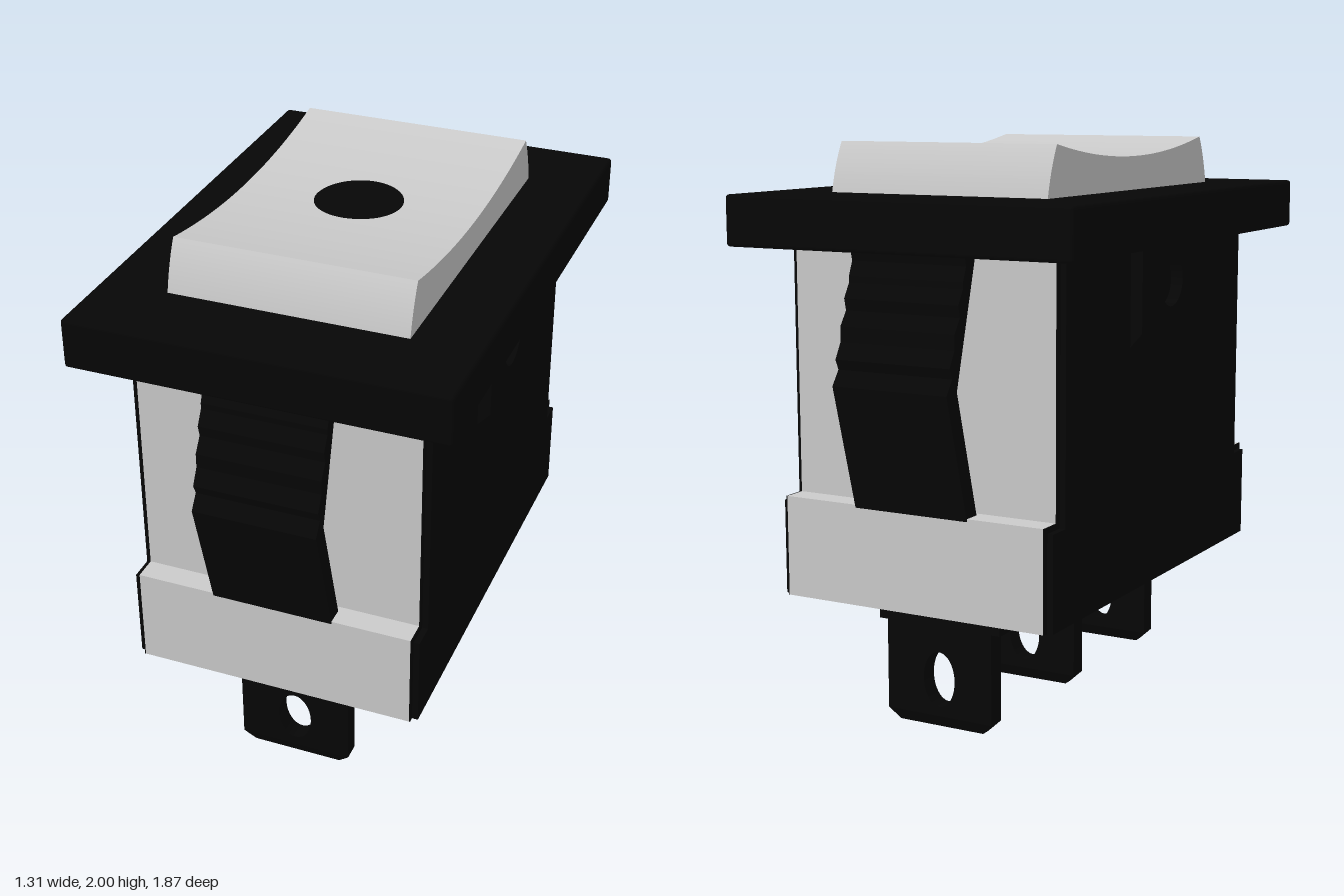
import * as THREE from 'three';
import { RoundedBoxGeometry } from 'three/addons/geometries/RoundedBoxGeometry.js';

export function createModel() {
  const model = new THREE.Group();
  const grey = new THREE.MeshStandardMaterial({ color: 0xcccccc });
  const black = new THREE.MeshStandardMaterial({ color: 0x060606 });

  const add = (name, geometry, material, x = 0, y = 0, z = 0, parent = model) => {
    const mesh = new THREE.Mesh(geometry, material);
    mesh.name = name;
    mesh.position.set(x, y, z);
    parent.add(mesh);
    return mesh;
  };
  const box = (w, h, d) => new THREE.BoxGeometry(w, h, d);
  const polygon = (points) => new THREE.Shape(points.map(([a, b]) => new THREE.Vector2(a, b)));
  const extrude = (shape, depth) =>
    new THREE.ExtrudeGeometry(shape, { depth, bevelEnabled: false, curveSegments: 24 });
  // Extrudes a (z, y) side profile across x, centred on x = 0
  const sideProfile = (shape, width) =>
    extrude(shape, width).translate(0, 0, -width / 2).rotateY(-Math.PI / 2);

  // Housing: grey core, black walls and slightly raised side panels, wider at the foot
  const housing = (bottom, inset) => {
    const foot = 0.815 - inset, body = 0.73 - inset, ledge = 0.8 - inset;
    return polygon([
      [-foot, bottom], [foot, bottom], [foot, ledge], [body, ledge],
      [body, 1.68], [-body, 1.68], [-body, ledge], [-foot, ledge],
    ]);
  };
  add('housingCore', sideProfile(housing(0.5, 0), 0.996), grey);
  for (const s of [-1, 1]) {
    add('housingSide', sideProfile(housing(0.45, 0), 0.004), black, s * 0.5);
    add('sidePanel', sideProfile(housing(0.45, 0.02), 0.022), black, s * 0.512);
    add('footSkirt', box(0.996, 0.05, 0.005), grey, 0, 0.475, s * 0.8125);
  }

  // Recessed underside with a rim
  const rim = polygon([[-0.498, -0.81], [0.498, -0.81], [0.498, 0.81], [-0.498, 0.81]]);
  rim.holes.push(polygon([[-0.465, -0.78], [-0.465, 0.78], [0.465, 0.78], [0.465, -0.78]]));
  add('bottomRim', extrude(rim, 0.05).rotateX(Math.PI / 2), black, 0, 0.5, 0);
  add('housingBottom', box(0.98, 0.004, 1.6), black, 0, 0.498, 0);

  // Flange
  add('flange', new RoundedBoxGeometry(1.306, 0.174, 1.83, 2, 0.012), black, 0, 1.742, 0);

  // Rocker with a concave top
  const topY = (z) => 1.945 + 0.055 * (z / 0.57) ** 2;
  const rocker = new THREE.Shape();
  rocker.moveTo(-0.635, 1.8);
  rocker.lineTo(0.635, 1.8);
  rocker.lineTo(0.632, 1.83);
  rocker.quadraticCurveTo(0.612, 1.925, 0.57, 2);
  for (let i = 1; i <= 32; i++) {
    const z = 0.57 - (1.14 * i) / 32;
    rocker.lineTo(z, topY(z));
  }
  rocker.quadraticCurveTo(-0.612, 1.925, -0.632, 1.83);
  add('rocker', sideProfile(rocker, 0.83), grey);

  // Round lens following the curve of the rocker
  const lens = new THREE.RingGeometry(0.0001, 0.153, 48, 6).rotateX(-Math.PI / 2);
  const lensPos = lens.attributes.position;
  for (let i = 0; i < lensPos.count; i++) lensPos.setY(i, topY(lensPos.getZ(i)) + 0.003);
  lens.computeVertexNormals();
  add('lens', lens, black);

  // Bent spring clips with serrated upper halves, front and back
  const clip = polygon([
    [0.75, 0.79], [0.815, 0.79], [0.936, 1.22], [0.9, 1.27], [0.916, 1.305],
    [0.885, 1.36], [0.885, 1.41], [0.85, 1.46], [0.86, 1.5], [0.83, 1.55],
    [0.83, 1.57], [0.81, 1.62], [0.822, 1.67], [0.747, 1.67], [0.872, 1.225],
  ]);
  for (const turn of [0, Math.PI]) {
    add(turn ? 'backClip' : 'frontClip', sideProfile(clip, 0.434), black).rotation.y = turn;
  }

  // Side catches with a round recess and a sloped lower edge
  for (const s of [-1, 1]) {
    const shape = polygon([[-0.24, 1.31], [0.24, 1.31], [0.24, 1.67], [-0.24, 1.67]]);
    const recess = new THREE.Path();
    recess.absarc(0, 1.52, 0.09, 0, Math.PI * 2, true);
    shape.holes.push(recess);
    const geometry = extrude(shape, 0.045);
    const p = geometry.attributes.position;
    for (let i = 0; i < p.count; i++) {
      if (p.getY(i) < 1.32 && p.getZ(i) > 0.02) p.setY(i, 1.36);
    }
    geometry.computeVertexNormals();
    geometry.rotateY(s * Math.PI / 2);
    add(s > 0 ? 'leftCatch' : 'rightCatch', geometry, black, s * 0.522);
  }

  // Three terminal blades with oval holes, shoulders and tapered tips
  for (const z of [-0.61, 0, 0.61]) {
    const terminal = new THREE.Group();
    terminal.name = 'terminal';
    terminal.position.z = z;
    model.add(terminal);

    const blade = polygon([
      [-0.207, 0.04], [0.207, 0.04], [0.207, 0.36], [0.24, 0.36],
      [0.24, 0.5], [-0.24, 0.5], [-0.24, 0.36], [-0.207, 0.36],
    ]);
    const eye = new THREE.Path();
    eye.absellipse(0, 0.172, 0.062, 0.098, 0, Math.PI * 2, true);
    blade.holes.push(eye);
    add('terminalBlade', extrude(blade, 0.066), black, 0, 0, -0.033, terminal);

    const tip = box(0.414, 0.04, 0.066).toNonIndexed();
    const p = tip.attributes.position;
    for (let i = 0; i < p.count; i++) {
      if (p.getY(i) < 0) p.setXYZ(i, p.getX(i) * 0.8, p.getY(i), p.getZ(i) * 0.55);
    }
    tip.computeVertexNormals();
    add('terminalTip', tip, black, 0, 0.02, 0, terminal);
  }

  return model;
}
